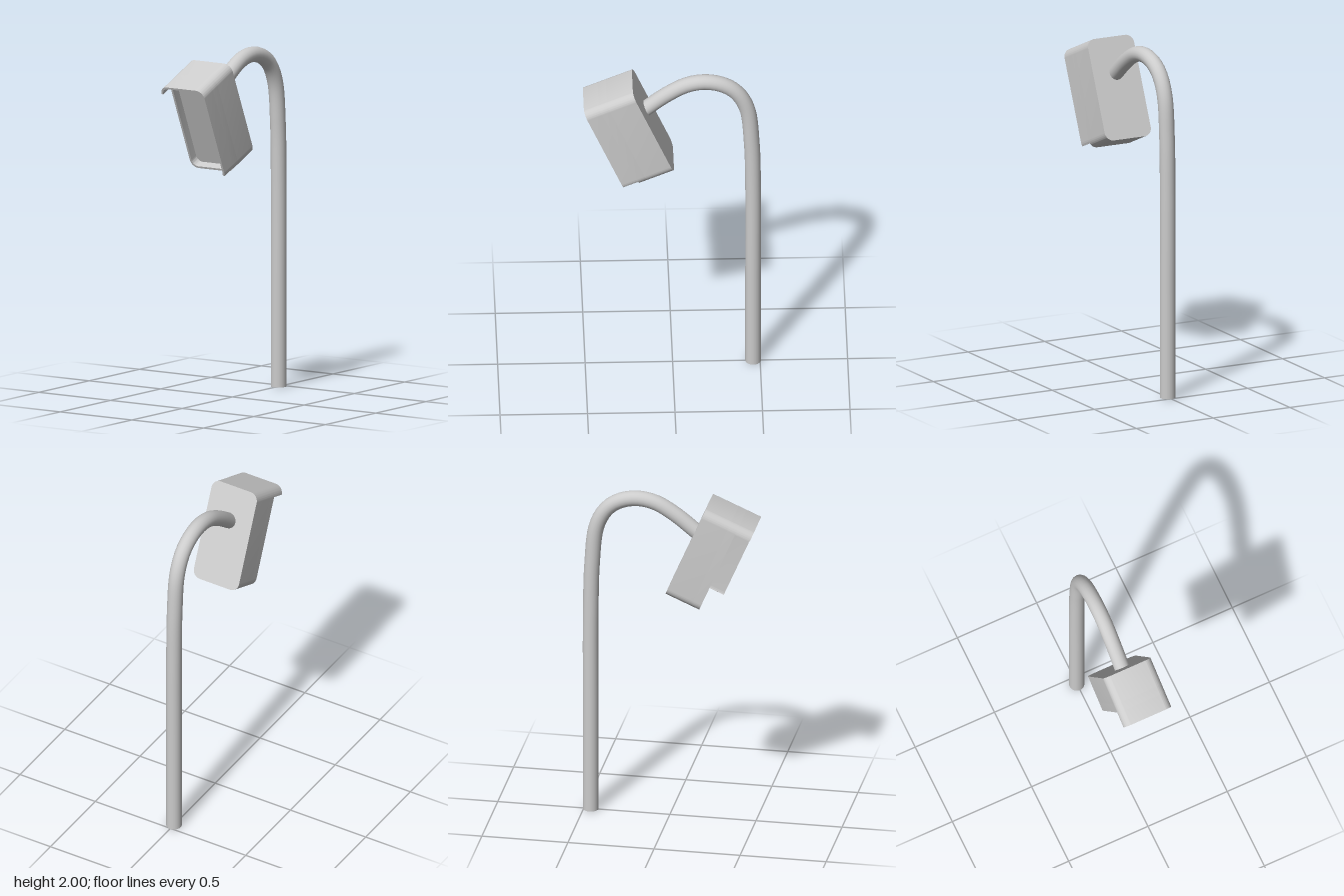
import * as THREE from 'three';
import { toCreasedNormals } from 'three/addons/utils/BufferGeometryUtils.js';

const W = 0.15, H = 0.594;          // half width and height of the lamp head
const BODY = 0.213, VISOR = 0.305;  // depth of the body and of the visor edge
const RECESS = 0.05, WALL = 0.012, R = 0.05;

const material = new THREE.MeshStandardMaterial({ color: 0xcccccc, side: THREE.DoubleSide });

function part(name, geometry) {
  const mesh = new THREE.Mesh(geometry, material);
  mesh.name = name;
  return mesh;
}

function extrude(shape, from, to) {
  const g = new THREE.ExtrudeGeometry(shape, { depth: to - from, bevelEnabled: false, curveSegments: 8 });
  g.translate(0, 0, from);
  return toCreasedNormals(g, 0.6);
}

// Rounded rectangle standing on y = 0, shrunk by an inset
function roundedRect(target, inset) {
  const w = W - inset, lo = inset, hi = H - inset, r = R - inset;
  target.absarc(w - r, lo + r, r, -Math.PI / 2, 0);
  target.absarc(w - r, hi - r, r, 0, Math.PI / 2);
  target.absarc(-w + r, hi - r, r, Math.PI / 2, Math.PI);
  target.absarc(-w + r, lo + r, r, Math.PI, Math.PI * 1.5);
  target.closePath();
  return target;
}

// Lopsided hood strip: full length on the left side, over the top, short hook on the right
function visorShape() {
  const s = new THREE.Shape(), i = R - WALL, start = -0.46;
  s.absarc(W - R, R, R, start, 0);
  s.absarc(W - R, H - R, R, 0, Math.PI / 2);
  s.absarc(-W + R, H - R, R, Math.PI / 2, Math.PI);
  s.absarc(-W + R, H - R, i, Math.PI, Math.PI / 2, true);
  s.absarc(W - R, H - R, i, Math.PI / 2, 0, true);
  s.absarc(W - R, R, i, 0, start, true);
  s.closePath();
  return s;
}

function createHead() {
  const head = new THREE.Group();
  head.name = 'lampHead';

  // Solid rear housing, its front face is the recessed lens panel
  head.add(part('housing', extrude(roundedRect(new THREE.Shape(), 0), 0, BODY - RECESS)));

  // Thin rim around the panel
  const rim = roundedRect(new THREE.Shape(), 0);
  rim.holes.push(roundedRect(new THREE.Path(), WALL));
  head.add(part('rim', extrude(rim, BODY - RECESS, BODY)));

  head.add(part('visor', extrude(visorShape(), BODY, VISOR)));

  head.position.set(0, 1.425, -0.005);
  head.rotation.x = 0.407;
  return head;
}

function createPole() {
  const pole = new THREE.Group();
  pole.name = 'pole';
  const radius = 0.045;

  // Straight post bending forward into a gooseneck, as [z, y]
  const path = [
    [-0.46, 0], [-0.46, 0.6], [-0.46, 1.2], [-0.452, 1.53], [-0.426, 1.765], [-0.372, 1.873],
    [-0.3, 1.93], [-0.195, 1.957], [-0.085, 1.94], [0.03, 1.876], [0.14, 1.79], [0.18, 1.757],
  ].map(([z, y]) => new THREE.Vector3(0, y, z));
  const curve = new THREE.CatmullRomCurve3(path);
  pole.add(part('gooseneck', new THREE.TubeGeometry(curve, 72, radius, 20)));

  // Closed foot
  const foot = part('foot', new THREE.CircleGeometry(radius, 20));
  foot.rotation.x = Math.PI / 2;
  foot.position.z = -0.46;
  pole.add(foot);
  return pole;
}

export function createModel() {
  const model = new THREE.Group();
  model.name = 'streetLamp';
  model.add(createPole(), createHead());
  return model;
}
